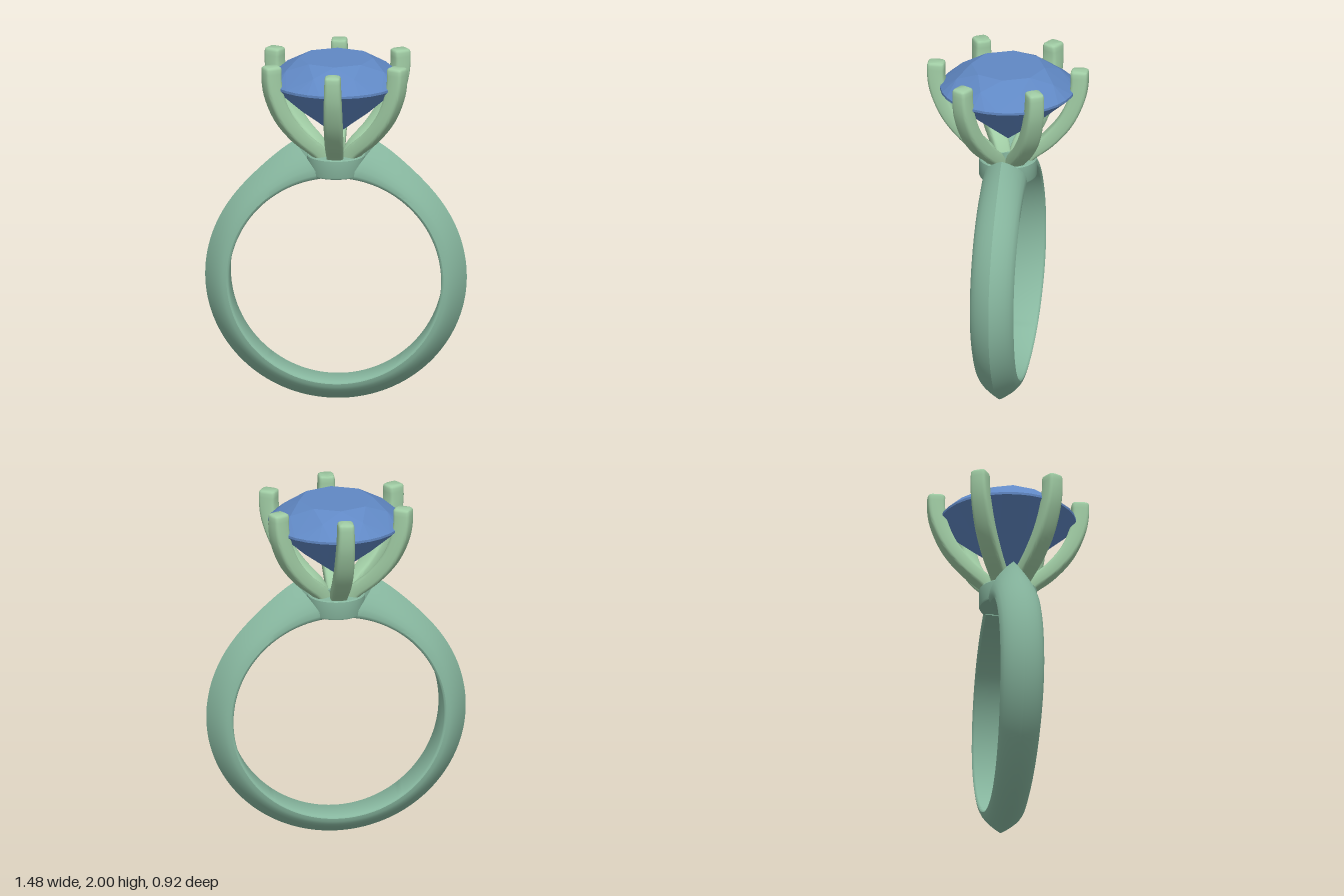
import * as THREE from 'three';
import { toCreasedNormals } from 'three/addons/utils/BufferGeometryUtils.js';
import { ConvexGeometry } from 'three/addons/geometries/ConvexGeometry.js';

const V = (x, y, z) => new THREE.Vector3(x, y, z);
const rad = THREE.MathUtils.degToRad;
const lerp = THREE.MathUtils.lerp;

// Skin a list of closed cross-sections and cap both ends.
function loft(rings, crease) {
  const n = rings[0].length, last = (rings.length - 1) * n, index = [];
  for (let i = 0; i < rings.length - 1; i++) {
    for (let j = 0; j < n; j++) {
      const k = (j + 1) % n, a = i * n + j, b = i * n + k;
      index.push(a, b, a + n, b, b + n, a + n);
    }
  }
  for (let j = 1; j < n - 1; j++) {
    index.push(0, j + 1, j, last, last + j, last + j + 1);
  }
  const g = new THREE.BufferGeometry().setFromPoints(rings.flat());
  g.setIndex(index);
  return toCreasedNormals(g, crease);
}

// Ridged band that rises into two shoulders, open at the top for the collar.
function bandGeometry() {
  const inner = 0.6, centreY = 0.725, steps = 120;
  const half = [1, 0.93, 0.84, 0.72, 0.58, 0.42, 0.26, 0.1, 0.04, 0].map((t) => {
    const z = t > 0.1 ? 1 - ((t - 0.1) / 0.9) ** 1.8 : t === 0.1 ? 1 : t > 0 ? 0.97 : 0.9;
    return [t, z];
  });
  const section = [...half, ...half.slice(1).reverse().map(([t, z]) => [t, -z])];
  const rings = [];
  for (let i = 0; i <= steps; i++) {
    rings.push(section.map(([t, z]) => {
      const start = rad(lerp(8, 17, t));
      const a = lerp(start, 2 * Math.PI - start, i / steps);
      const phi = Math.min(a, 2 * Math.PI - a);
      const low = THREE.MathUtils.smoothstep(phi, Math.PI / 2, Math.PI);
      const outer = 0.74 - 0.02 * low + 0.125 * Math.exp(-((phi / rad(26)) ** 2));
      const r = lerp(inner, outer, t);
      return V(r * Math.sin(a), centreY + r * Math.cos(a), z * lerp(0.125, 0.106, low));
    }));
  }
  return loft(rings, 0.6);
}

// Curved claw with a rounded square section, built in the x-y plane.
function prongGeometry() {
  const path = new THREE.CatmullRomCurve3([
    V(0.085, 1.41, 0), V(0.12, 1.465, 0), V(0.235, 1.565, 0), V(0.335, 1.69, 0),
    V(0.395, 1.83, 0), V(0.41, 1.92, 0), V(0.41, 1.985, 0),
  ]);
  const steps = 28, sides = 20, rings = [];
  const round = (v) => Math.sign(v) * Math.abs(v) ** 0.45;
  const addRing = (p, t, wide, deep) => {
    const ring = [];
    for (let j = 0; j < sides; j++) {
      const a = (j / sides) * 2 * Math.PI;
      const c = round(Math.cos(a)) * deep, s = round(Math.sin(a)) * wide;
      ring.push(V(p.x - t.y * c, p.y + t.x * c, s));
    }
    rings.push(ring);
  };
  for (let i = 0; i <= steps; i++) {
    const u = i / steps;
    const wide = 0.046 + 0.008 * Math.sin(Math.PI * u);
    addRing(path.getPointAt(u), path.getTangentAt(u), wide, lerp(0.04, 0.05, u));
  }
  // Softened tip
  const up = V(0, 1, 0);
  addRing(V(0.41, 1.995, 0), up, 0.043, 0.047);
  addRing(V(0.41, 2, 0), up, 0.037, 0.04);
  return loft(rings, 0.7);
}

// Faceted round brilliant: table, crown, girdle, pavilion and point.
function gemGeometry() {
  const pts = [V(0, 1.55, 0)];
  const ring = (n, r, y, offset) => {
    for (let i = 0; i < n; i++) {
      const a = ((i + offset) / n) * 2 * Math.PI;
      pts.push(V(r * Math.cos(a), y, r * Math.sin(a)));
    }
  };
  ring(8, 0.21, 2, 0);
  ring(8, 0.3, 1.95, 0.5);
  ring(32, 0.384, 1.876, 0);
  ring(32, 0.384, 1.862, 0);
  ring(8, 0.2, 1.7, 0.5);
  return new ConvexGeometry(pts);
}

export function createModel() {
  const model = new THREE.Group();
  const metal = new THREE.MeshStandardMaterial({ color: 0x88b8a0 });
  const claw = new THREE.MeshStandardMaterial({ color: 0xa0cca4 });
  const stone = new THREE.MeshStandardMaterial({ color: 0x6088c4, flatShading: true });
  const add = (name, geometry, material, parent = model) => {
    const mesh = new THREE.Mesh(geometry, material);
    mesh.name = name;
    parent.add(mesh);
    return mesh;
  };

  add('band', bandGeometry(), metal);

  // Collar with a small hole through its middle
  const profile = [
    [0.05, 1.44], [0.05, 1.325], [0.152, 1.325], [0.161, 1.329], [0.165, 1.338],
    [0.165, 1.434], [0.16, 1.44], [0.05, 1.44],
  ].map(([x, y]) => new THREE.Vector2(x, y));
  add('collar', toCreasedNormals(new THREE.LatheGeometry(profile, 48), 0.6), metal);

  const prongs = new THREE.Group();
  prongs.name = 'prongs';
  model.add(prongs);
  const prong = prongGeometry();
  for (let i = 0; i < 6; i++) {
    add('prong', prong, claw, prongs).rotation.y = rad(30 + 60 * i);
  }

  add('gemstone', gemGeometry(), stone);
  return model;
}
